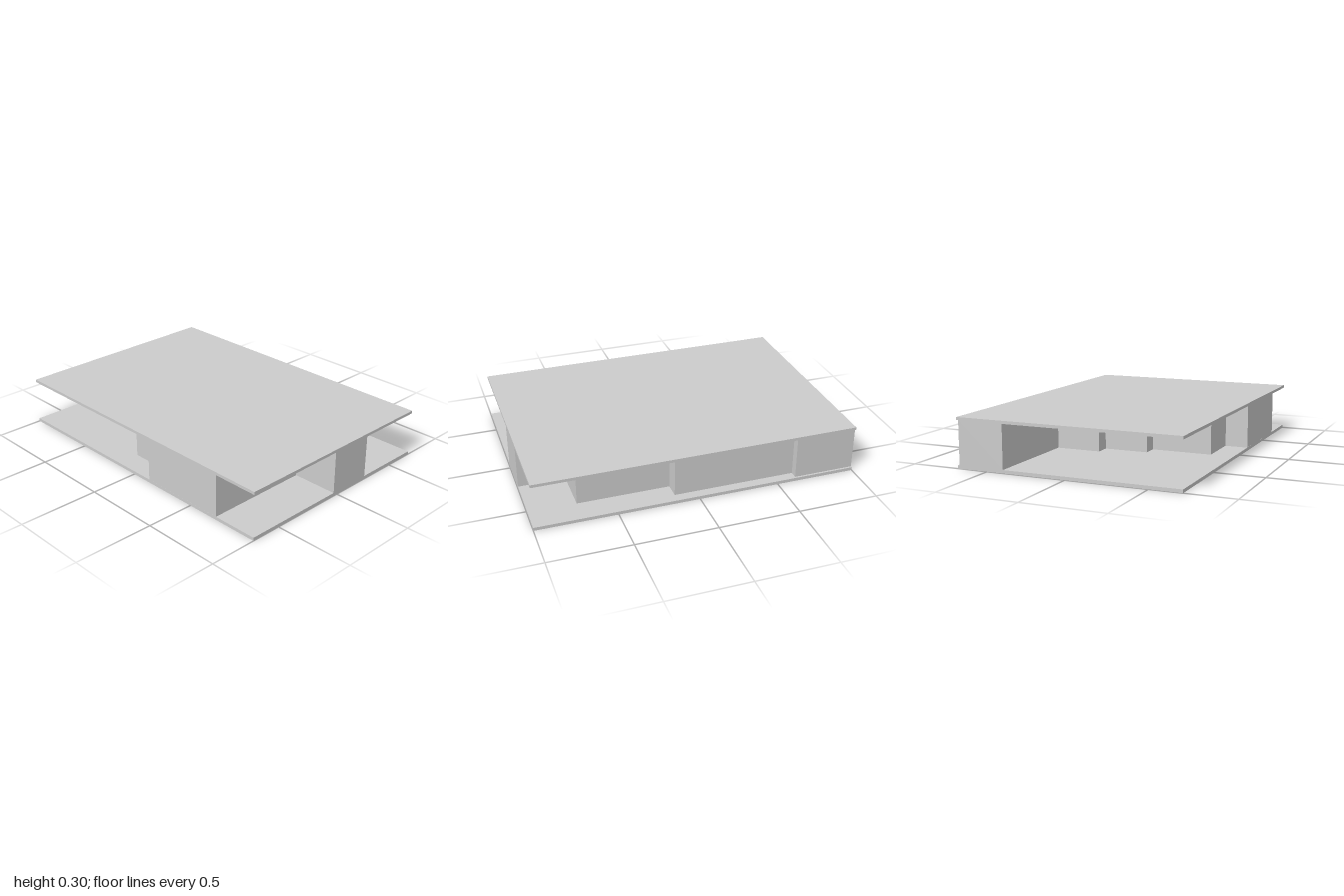
import * as THREE from 'three';

const WIDTH = 2, DEPTH = 1.395;
const FLOOR_TOP = 0.02, ROOF_BOTTOM = 0.286, ROOF_TOP = 0.304;

export function createModel() {
  const group = new THREE.Group();
  const material = new THREE.MeshStandardMaterial({ color: 0xcccccc, flatShading: true });

  const add = (name, geometry, y) => {
    const mesh = new THREE.Mesh(geometry, material);
    mesh.name = name;
    mesh.position.y = y;
    group.add(mesh);
  };

  // Thin rectangular slab between two heights
  const addSlab = (name, bottom, top) =>
    add(name, new THREE.BoxGeometry(WIDTH, top - bottom, DEPTH), (bottom + top) / 2);

  addSlab('floorSlab', 0, FLOOR_TOP);
  addSlab('roofSlab', ROOF_BOTTOM, ROOF_TOP);

  // Stepped floor plan of the storey, as [x, z] corners
  const plan = [
    // front and right side
    [0.14, 0.697], [0.71, 0.697], [0.71, 0.03], [1, 0.03],
    // steps along the back
    [1, -0.255], [0.71, -0.255], [0.71, -0.54], [0.14, -0.54],
    [0.14, -0.638], [-0.62, -0.638], [-0.62, -0.685], [-1, -0.685],
    // steps from the left side to the front
    [-1, -0.395], [-0.335, -0.395], [-0.335, -0.11], [-0.24, -0.11],
    [-0.24, 0.17], [-0.145, 0.17], [-0.145, 0.553], [0.14, 0.553],
  ];
  const shape = new THREE.Shape(plan.map(([x, z]) => new THREE.Vector2(x, -z)));
  const storey = new THREE.ExtrudeGeometry(shape, { depth: ROOF_BOTTOM - FLOOR_TOP, bevelEnabled: false });
  storey.rotateX(-Math.PI / 2);
  add('storeyWalls', storey, FLOOR_TOP);

  return group;
}
